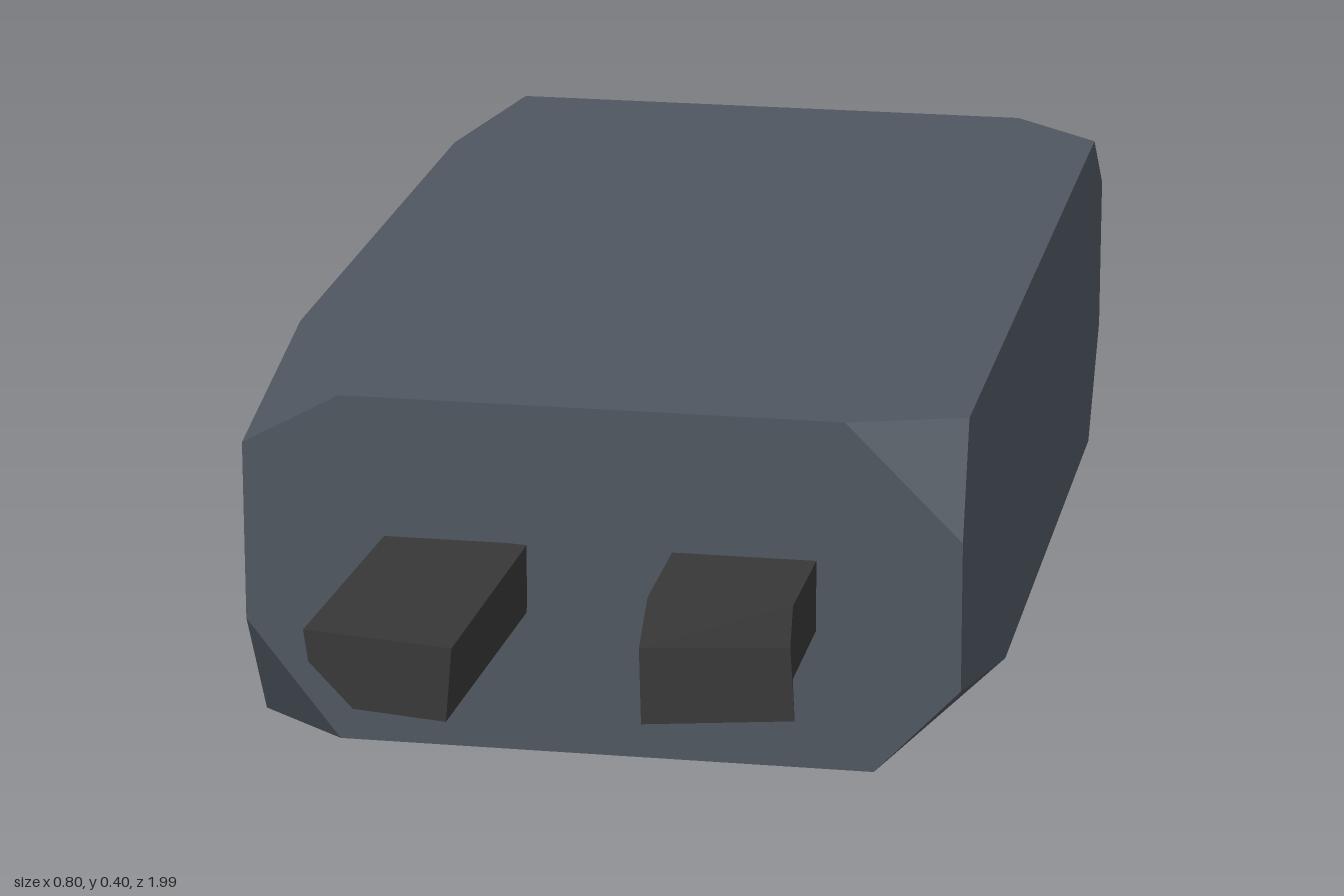
import * as THREE from 'three';
import { ConvexGeometry } from 'three/addons/geometries/ConvexGeometry.js';

// Flat-faced loft through rings of [x, y] points, each listed counter-clockwise seen from +z, z rising
function loft(sections) {
  const pos = [];
  const at = (s, i) => {
    const ring = sections[s].ring;
    const [x, y] = ring[i % ring.length];
    return [x, y, sections[s].z];
  };
  const n = sections[0].ring.length, last = sections.length - 1;
  for (let s = 0; s < last; s++) {
    for (let i = 0; i < n; i++) {
      const a = at(s, i), b = at(s, i + 1), c = at(s + 1, i + 1), d = at(s + 1, i);
      pos.push(...a, ...b, ...c, ...a, ...c, ...d);
    }
  }
  for (let i = 1; i < n - 1; i++) {
    pos.push(...at(0, 0), ...at(0, i + 1), ...at(0, i));
    pos.push(...at(last, 0), ...at(last, i), ...at(last, i + 1));
  }
  const g = new THREE.BufferGeometry();
  g.setAttribute('position', new THREE.Float32BufferAttribute(pos, 3));
  g.computeVertexNormals();
  return g;
}

export function createModel() {
  const group = new THREE.Group();
  const slate = new THREE.MeshStandardMaterial({ name: 'slate grey', color: 0x4f5660 });
  const charcoal = new THREE.MeshStandardMaterial({ name: 'charcoal', color: 0x373737 });
  const add = (name, geometry, material) => {
    const mesh = new THREE.Mesh(geometry, material);
    mesh.name = name;
    group.add(mesh);
  };

  // Body: a block with each corner chipped off; rows are corner signs, then cut lengths along x, y, z
  const chips = [
    [-1, 1, 1, 0.11, 0.06, 0.27],
    [1, 1, 1, 0.13, 0.13, 0.04],
    [-1, -1, 1, 0.105, 0.135, 0.08],
    [1, -1, 1, 0.095, 0.1, 0.39],
    [-1, 1, -1, 0.04, 0.125, 0.25],
    [1, 1, -1, 0.11, 0.08, 0.1],
    [-1, -1, -1, 0.08, 0.06, 0.1],
    [1, -1, -1, 0.035, 0.13, 0.1],
  ];
  const points = [];
  for (const [sx, sy, sz, dx, dy, dz] of chips) {
    const x = 0.4 * sx, y = 0.2 + 0.2 * sy, z = 0.664 * sz;
    points.push(
      new THREE.Vector3(x - sx * dx, y, z),
      new THREE.Vector3(x, y - sy * dy, z),
      new THREE.Vector3(x, y, z - sz * dz),
    );
  }
  add('body', new ConvexGeometry(points), slate);

  // Prongs: roots sit inside the body, tips are slightly skewed
  const rect = (x0, x1, y0, y1) => [[x0, y0], [x1, y0], [x1, y1], [x0, y1]];

  add('frontRightProng', loft([
    { z: 0.62, ring: [[-0.239, 0.16], [-0.08, 0.162], [-0.08, 0.24], [-0.24, 0.24], [-0.24, 0.161]] },
    { z: 0.99, ring: [[-0.2, 0.16], [-0.1, 0.152], [-0.093, 0.234], [-0.252, 0.245], [-0.247, 0.21]] },
  ]), charcoal);

  add('frontLeftProng', loft([
    { z: 0.62, ring: rect(0.08, 0.24, 0.16, 0.24) },
    { z: 0.82, ring: rect(0.083, 0.24, 0.16, 0.243) },
    { z: 0.99, ring: [[0.108, 0.163], [0.27, 0.177], [0.265, 0.257], [0.106, 0.247]] },
  ]), charcoal);

  add('backRightProng', loft([
    { z: -1, ring: [[-0.245, 0.168], [-0.087, 0.168], [-0.087, 0.25], [-0.247, 0.25]] },
    { z: -0.82, ring: rect(-0.243, -0.083, 0.165, 0.257) },
    { z: -0.62, ring: rect(-0.24, -0.08, 0.16, 0.24) },
  ]), charcoal);

  add('backLeftProng', loft([
    { z: -1, ring: [[0.1, 0.145], [0.243, 0.147], [0.25, 0.222], [0.084, 0.222]] },
    { z: -0.62, ring: rect(0.08, 0.238, 0.165, 0.242) },
  ]), charcoal);

  return group;
}
